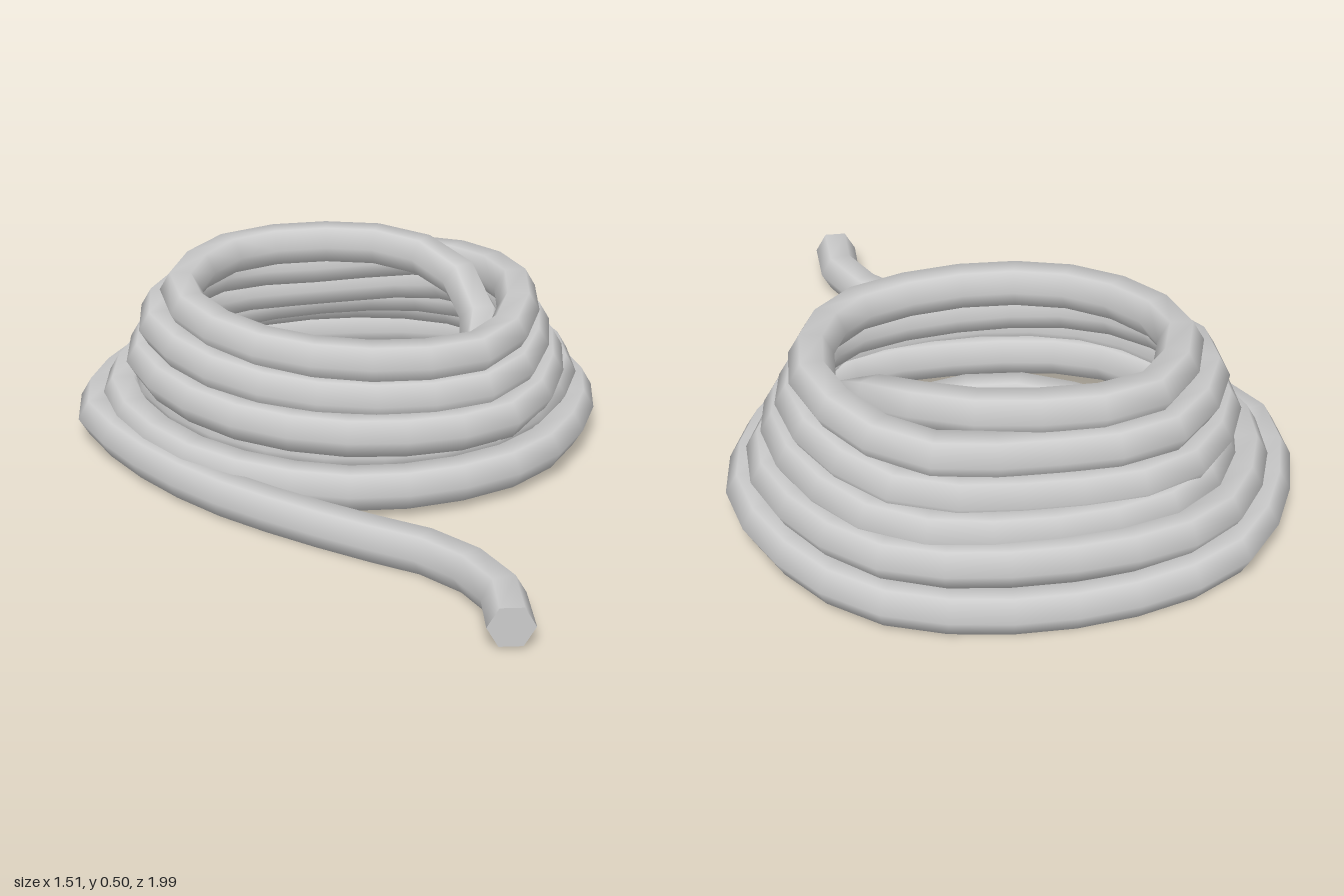
import * as THREE from 'three';

const R = 0.061, SIDES = 6, SEGMENTS = 140, CENTRE_Z = -0.35;

// Coil as [radius, height] at each quarter turn: left, back, right, front
const QUARTERS = [
  [0.702, 0.08], [0.592, 0.055], [0.695, 0.088], [0.612, 0.085],
  [0.625, 0.125], [0.55, 0.165], [0.642, 0.17], [0.49, 0.14],
  [0.535, 0.18], [0.485, 0.21], [0.592, 0.24], [0.54, 0.21],
  [0.555, 0.25], [0.42, 0.27], [0.552, 0.32], [0.48, 0.29],
  [0.52, 0.35], [0.375, 0.36], [0.517, 0.405], [0.45, 0.385],
  [0.45, 0.425], [0.325, 0.445],
];

const vec = (p) => new THREE.Vector3(...p);

function coilPoint(turn, radius, y) {
  const a = Math.PI + turn * Math.PI / 2;
  return new THREE.Vector3(Math.cos(a) * radius, y, CENTRE_Z + Math.sin(a) * radius);
}

function ropePath() {
  // Loose tail lying on the ground
  const points = [
    [0.276, 0.066, 0.988], [0.284, 0.065, 0.84], [0.18, 0.06, 0.63], [-0.02, 0.056, 0.475],
    [-0.21, 0.06, 0.34], [-0.42, 0.065, 0.155], [-0.6, 0.075, -0.08],
  ].map(vec);
  // Rising coil, with a point halfway between quarters;
  // the upper turns bulge and sag at the front right and tighten at the front left
  QUARTERS.forEach(([r, y], i) => {
    points.push(coilPoint(i, r, y));
    const next = QUARTERS[i + 1];
    if (next) {
      const corner = i > 6 && i % 4 === 2;
      const bulge = corner ? 0.05 : i % 4 === 3 ? -0.015 : 0.02;
      const sag = corner ? 0.02 : 0;
      points.push(coilPoint(i + 0.5, (r + next[0]) / 2 + bulge, (y + next[1]) / 2 - sag));
    }
  });
  // Free end dropping inside the coil
  points.push(...[
    [0.21, 0.44, -0.615], [0.355, 0.41, -0.48], [0.415, 0.31, -0.31],
    [0.37, 0.16, -0.17], [0.23, 0.1, -0.06], [0.05, 0.1, -0.02],
    [-0.12, 0.115, -0.075], [-0.31, 0.14, -0.27],
  ].map(vec));

  const curve = new THREE.CatmullRomCurve3(points);
  curve.arcLengthDivisions = 1200;
  // Keep the six-sided section level along the whole rope
  curve.computeFrenetFrames = (n) => {
    const frames = { tangents: [], normals: [], binormals: [] };
    for (let i = 0; i <= n; i++) {
      const t = curve.getTangentAt(i / n);
      const side = new THREE.Vector3(t.z, 0, -t.x).normalize();
      frames.tangents.push(t);
      frames.normals.push(side);
      frames.binormals.push(new THREE.Vector3().crossVectors(t, side));
    }
    return frames;
  };
  return curve;
}

export function createModel() {
  const group = new THREE.Group();
  group.name = 'coiledRope';
  const material = new THREE.MeshStandardMaterial({ color: 0xcccccc });
  const path = ropePath();

  const rope = new THREE.Mesh(new THREE.TubeGeometry(path, SEGMENTS, R, SIDES, false), material);
  rope.name = 'rope';
  group.add(rope);

  // Flat cut ends
  const { tangents, normals, binormals } = path.computeFrenetFrames(1);
  [['tailEnd', 0, -1], ['innerEnd', 1, 1]].forEach(([name, i, s]) => {
    const cap = new THREE.CircleGeometry(R, SIDES);
    cap.applyMatrix4(new THREE.Matrix4().makeBasis(
      normals[i], binormals[i].multiplyScalar(s), tangents[i].multiplyScalar(s)
    ).setPosition(path.getPointAt(i)));
    const mesh = new THREE.Mesh(cap, material);
    mesh.name = name;
    group.add(mesh);
  });
  return group;
}
